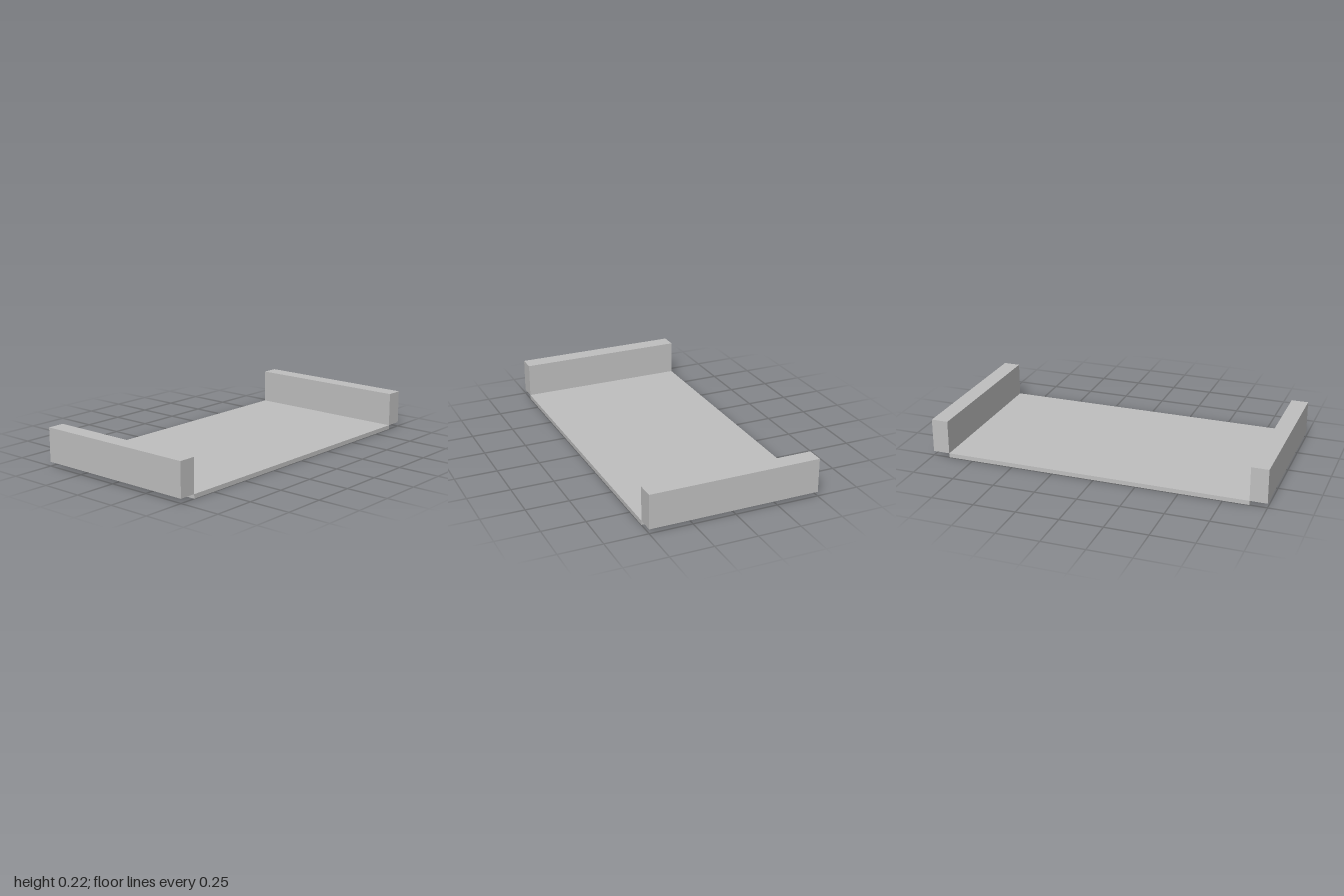
import * as THREE from 'three';

const PLATE_WIDTH = 1.8;
const PLATE_THICKNESS = 0.025;
const RAIL_WIDTH = 0.1;
const RAIL_HEIGHT = 0.2;
const DEPTH = 1;

export function createModel() {
  const group = new THREE.Group();
  group.name = 'tray';

  const grey = new THREE.MeshStandardMaterial({ color: 0xc0c0c0 });
  grey.name = 'light grey';

  const addBox = (name, width, height, x, bottom) => {
    const mesh = new THREE.Mesh(new THREE.BoxGeometry(width, height, DEPTH), grey);
    mesh.name = name;
    mesh.position.set(x, bottom + height / 2, 0);
    group.add(mesh);
  };

  // Thin base plate between the rails
  addBox('basePlate', PLATE_WIDTH, PLATE_THICKNESS, 0, 0);

  // Side rails, starting level with the top of the plate and just outside it
  for (const [name, side] of [['leftRail', 1], ['rightRail', -1]]) {
    addBox(name, RAIL_WIDTH, RAIL_HEIGHT, side * (PLATE_WIDTH + RAIL_WIDTH) / 2, PLATE_THICKNESS);
  }

  return group;
}
